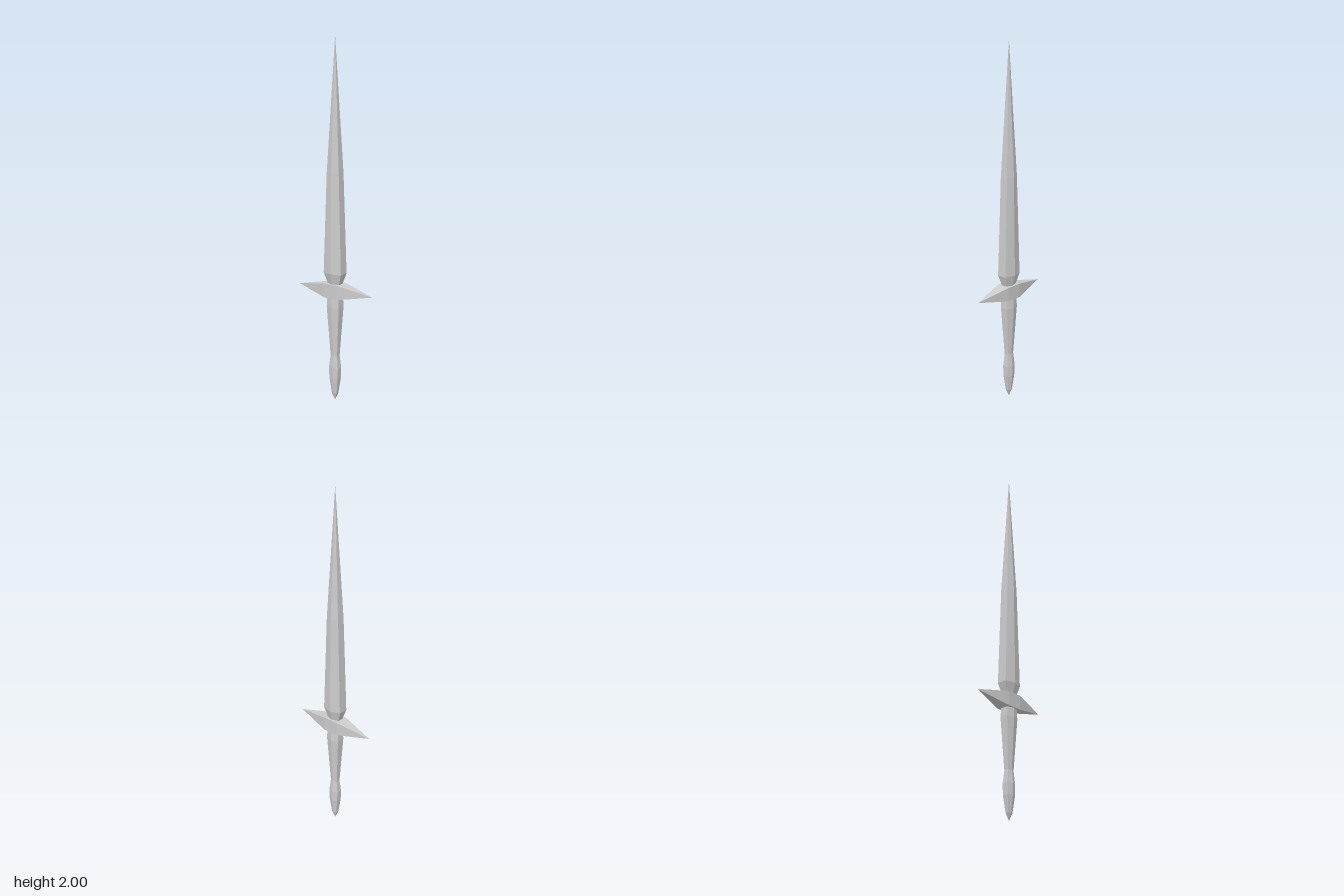
import * as THREE from 'three';

const material = new THREE.MeshStandardMaterial({ color: 0xcccccc, flatShading: true });

// Skins a stack of rings, each { y, points: [[x, z], ...] }, bottom to top.
function loft(rings) {
  const positions = [];
  const tri = (a, b, c) => {
    const area = new THREE.Triangle(a, b, c).getArea();
    if (area > 1e-9) for (const p of [a, b, c]) positions.push(p.x, p.y, p.z);
  };
  const corners = rings.map(r => r.points.map(([x, z]) => new THREE.Vector3(x, r.y, z)));
  for (let i = 0; i < corners.length - 1; i++) {
    const low = corners[i], high = corners[i + 1], n = low.length;
    for (let j = 0; j < n; j++) {
      const k = (j + 1) % n;
      tri(low[j], low[k], high[k]);
      tri(low[j], high[k], high[j]);
    }
  }
  const geometry = new THREE.BufferGeometry();
  geometry.setAttribute('position', new THREE.Float32BufferAttribute(positions, 3));
  geometry.computeVertexNormals();
  return geometry;
}

// Six-sided section: narrow flat edges at the sides, a ridge front and back.
const hexRing = ([y, x, ridge, flat]) => ({
  y, points: [[0, ridge], [x, flat], [x, -flat], [0, -ridge], [-x, -flat], [-x, flat]],
});
const squareRing = ([y, h]) => ({ y, points: [[h, h], [h, -h], [-h, -h], [-h, h]] });

export function createModel() {
  const group = new THREE.Group();
  const add = (name, geometry) => {
    const mesh = new THREE.Mesh(geometry, material);
    mesh.name = name;
    group.add(mesh);
    return mesh;
  };

  // Blade: flared shoulder, gentle taper, long point (y, half width, ridge, flat)
  add('blade', loft([
    [0.66, 0.034, 0.025, 0.015],
    [0.73, 0.057, 0.044, 0.027],
    [1.28, 0.039, 0.036, 0.022],
    [2.0, 0, 0, 0],
  ].map(hexRing)));

  // Grip with a waist above a swollen, pointed pommel
  add('grip', loft([
    [0, 0, 0, 0],
    [0.04, 0.016, 0.015, 0.009],
    [0.13, 0.028, 0.026, 0.016],
    [0.19, 0.030, 0.027, 0.016],
    [0.26, 0.022, 0.019, 0.012],
    [0.54, 0.040, 0.036, 0.023],
    [0.60, 0.038, 0.033, 0.021],
  ].map(hexRing)));

  // Crossguard: square block tapering to a point on either side
  const guard = add('crossguard', loft([
    [-0.243, 0],
    [-0.045, 0.039],
    [0.045, 0.039],
    [0.243, 0],
  ].map(squareRing)));
  guard.rotation.z = Math.PI / 2;
  guard.position.y = 0.632;

  return group;
}
